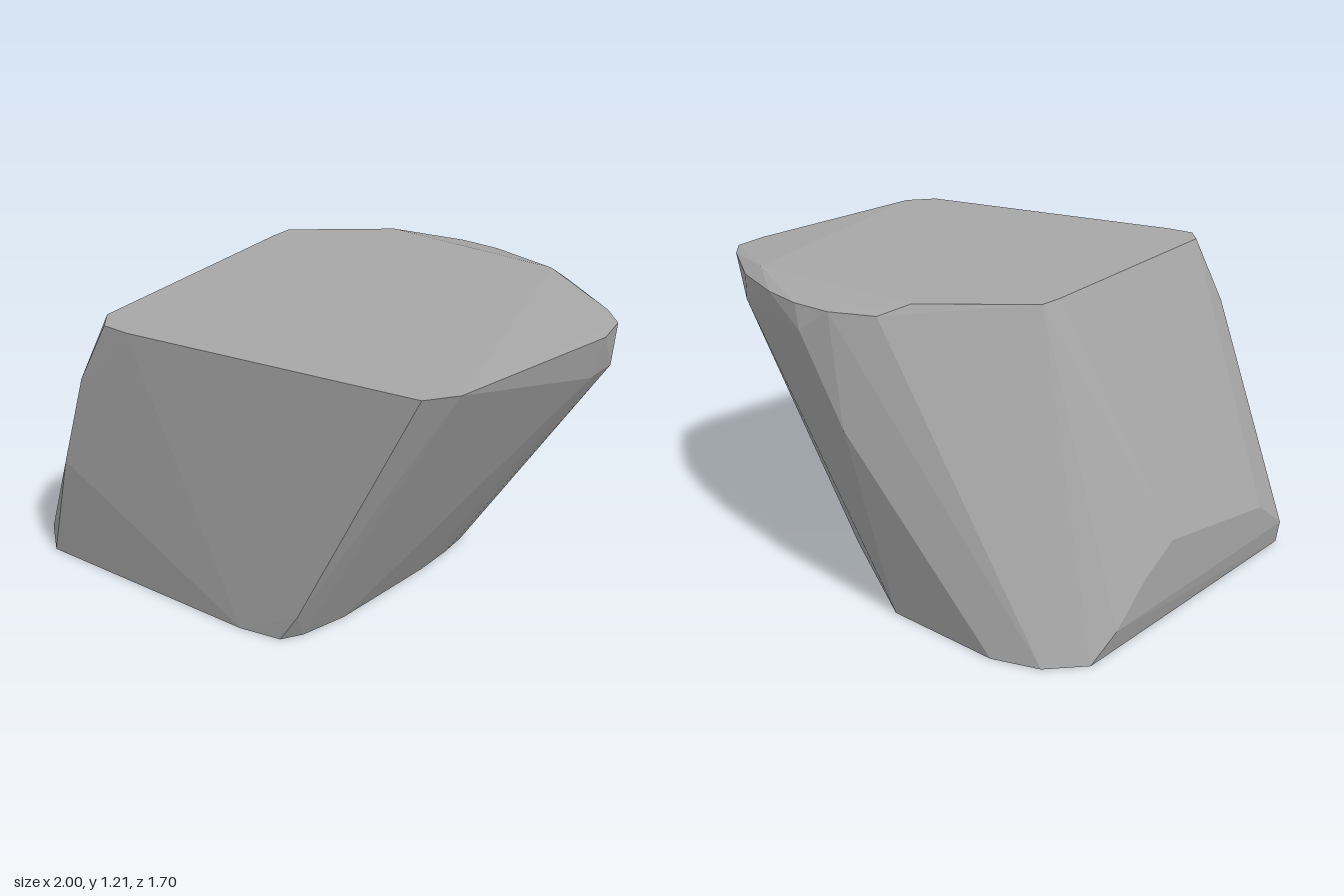
import * as THREE from 'three';
import { ConvexGeometry } from 'three/addons/geometries/ConvexGeometry.js';

export function createModel() {
  const group = new THREE.Group();
  group.name = 'leaningStone';
  const grey = new THREE.MeshStandardMaterial({ color: 0xa6a6a6, flatShading: true });
  grey.name = 'stone grey';

  // Outline rings at fixed heights, as [x, z] pairs
  const rings = [
    // flat base
    [0, [[-0.98, 0.745], [0.03, 0.69], [0.2, 0.65], [0.25, 0.57], [0.3, 0.38], [0.34, -0.1], [0.34, -0.27],
      [0.33, -0.4], [-0.19, -0.72], [-0.67, -0.74], [-0.85, -0.68], [-0.97, -0.55]]],
    // rounded rear shoulder
    [1.17, [[1, -0.26], [0.97, -0.41], [0.88, -0.5], [0.6, -0.69], [0.35, -0.79], [0.17, -0.83], [0, -0.83],
      [-0.17, -0.76]]],
    // flat top
    [1.21, [[-0.6, -0.38], [-0.25, -0.67], [0.53, -0.67], [0.91, 0.54], [0.83, 0.65], [-0.32, 0.85],
      [-0.43, 0.85], [-0.5, 0.77], [-0.6, -0.28]]],
  ];
  const points = rings.flatMap(([y, ring]) => ring.map(([x, z]) => new THREE.Vector3(x, y, z)));

  // Chipped corners and facets between the rings
  const facets = [
    [-1, 0.1, 0.73], [-1, 0.23, 0.55], [-1, 0.33, -0.1], [-1, 0.24, -0.27], [-1, 0.1, -0.44], // cut left side
    [-0.75, 0.54, 0.83], [-0.59, 0.95, 0.845], // front left edge
    [0.29, 0.14, 0.65], [0.33, 0.19, 0.5], // front right foot
    [0.96, 1, -0.25], [0.96, 1, -0.4], // right overhang
    [-0.08, 0.75, -0.85], [0.13, 1.08, -0.85], [0.6, 1.07, -0.69], // back bulge
  ];
  points.push(...facets.map((p) => new THREE.Vector3(...p)));

  const stone = new THREE.Mesh(new ConvexGeometry(points), grey);
  stone.name = 'stone';
  group.add(stone);
  return group;
}
